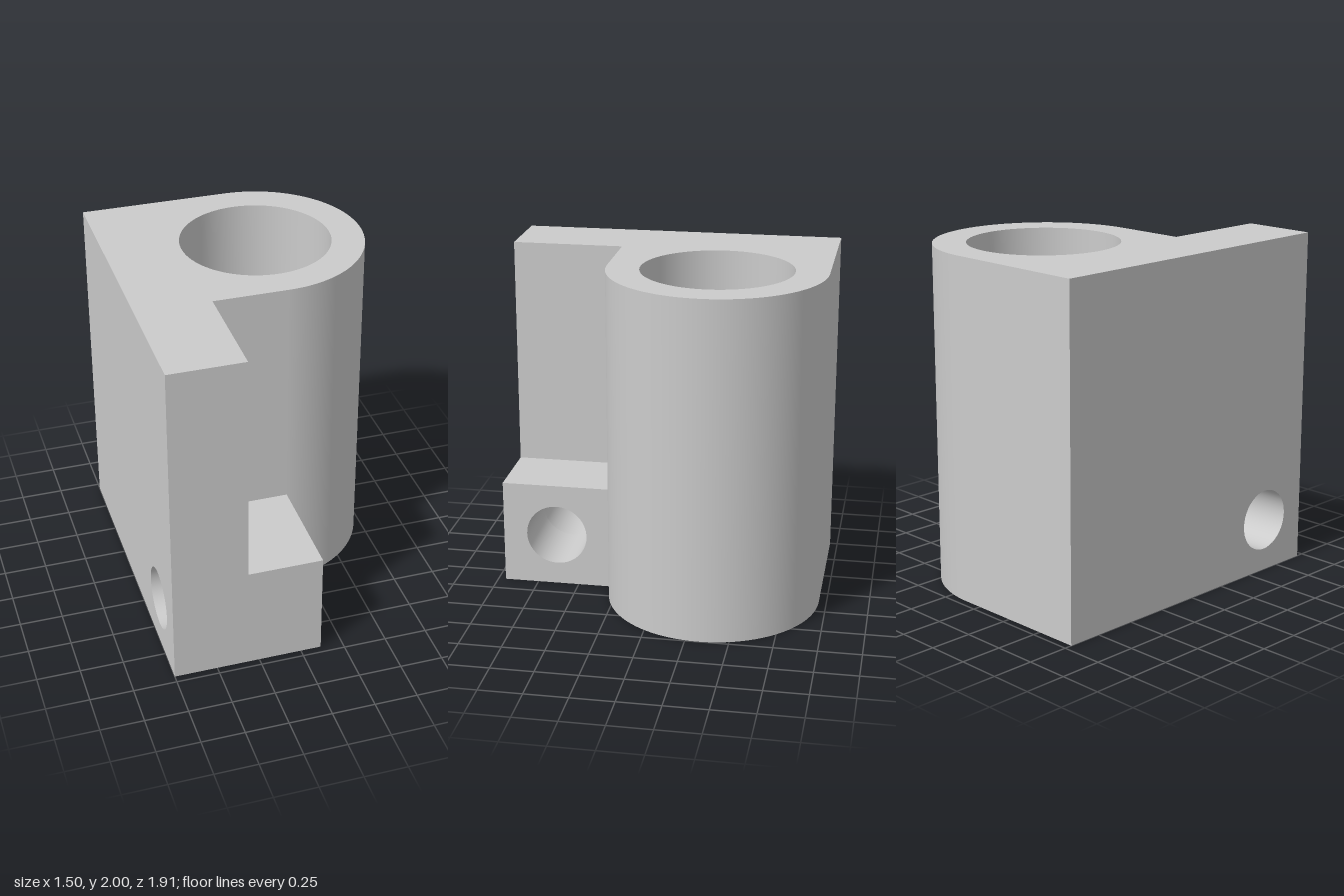
import * as THREE from 'three';
import { toCreasedNormals } from 'three/addons/utils/BufferGeometryUtils.js';

const H = 2, LEFT = -0.75, BACK = -0.955, FRONT = 0.955; // overall limits
const R = 0.628, CX = 0.12, CZ = BACK + R;               // rounded barrel
const STEP_X = -0.315, STEP_Z = CZ + R, LUG_H = 0.63;    // notch in the front corner
const BORE_R = 0.437;
const PIN = { z: 0.63, y: 0.315, r: 0.183 };             // cross hole

function addHole(shape, x, y, r) {
  shape.holes.push(new THREE.Path().absarc(x, y, r, 0, Math.PI * 2, true));
}

// Remove triangles lying wholly in a plane, where two parts meet
function dropPlane(geometry, axis, value) {
  const p = geometry.attributes.position, kept = [];
  for (let i = 0; i < p.count; i += 3) {
    const corners = [i, i + 1, i + 2];
    if (corners.every(c => Math.abs(p.getComponent(c, axis) - value) < 1e-4)) continue;
    for (const c of corners) kept.push(p.getX(c), p.getY(c), p.getZ(c));
  }
  const out = new THREE.BufferGeometry();
  out.setAttribute('position', new THREE.Float32BufferAttribute(kept, 3));
  return out;
}

// Block running along x from x0 to x1, pierced by the cross hole
function piercedBlock(x0, x1, height) {
  const s = new THREE.Shape();
  s.moveTo(-FRONT, 0);
  s.lineTo(-STEP_Z, 0);
  s.lineTo(-STEP_Z, height);
  s.lineTo(-FRONT, height);
  s.closePath();
  addHole(s, -PIN.z, PIN.y, PIN.r);
  const g = new THREE.ExtrudeGeometry(s, { depth: x1 - x0, bevelEnabled: false, curveSegments: 20 });
  g.rotateY(Math.PI / 2).translate(x0, 0, 0);
  return dropPlane(g, 2, STEP_Z);
}

export function createModel() {
  const model = new THREE.Group();
  const material = new THREE.MeshStandardMaterial({ color: 0xcccccc });
  const add = (name, geometry) => {
    const mesh = new THREE.Mesh(toCreasedNormals(geometry, 0.6), material);
    mesh.name = name;
    model.add(mesh);
  };

  // Main body: flat left wall, rounded barrel and vertical bore
  const d = new THREE.Shape();
  d.moveTo(LEFT, -BACK);
  d.lineTo(LEFT, -STEP_Z);
  d.lineTo(CX, -STEP_Z);
  d.absarc(CX, -CZ, R, -Math.PI / 2, Math.PI / 2, false);
  d.closePath();
  addHole(d, CX, -CZ, BORE_R);
  const body = new THREE.ExtrudeGeometry(d, { depth: H, bevelEnabled: false, curveSegments: 48 });
  body.rotateX(-Math.PI / 2);
  add('boredBody', dropPlane(body, 2, STEP_Z));

  // Tall flange and low lug, sharing the cross hole
  add('flange', dropPlane(piercedBlock(LEFT, STEP_X, H), 0, STEP_X));
  add('lug', dropPlane(piercedBlock(STEP_X, CX, LUG_H), 0, STEP_X));

  // The two walls of the notch above the lug
  const wallH = H - LUG_H, wallY = LUG_H + wallH / 2;
  add('notchBackWall', new THREE.PlaneGeometry(CX - STEP_X, wallH)
    .translate((CX + STEP_X) / 2, wallY, STEP_Z));
  add('notchSideWall', new THREE.PlaneGeometry(FRONT - STEP_Z, wallH)
    .rotateY(Math.PI / 2).translate(STEP_X, wallY, (FRONT + STEP_Z) / 2));

  return model;
}
